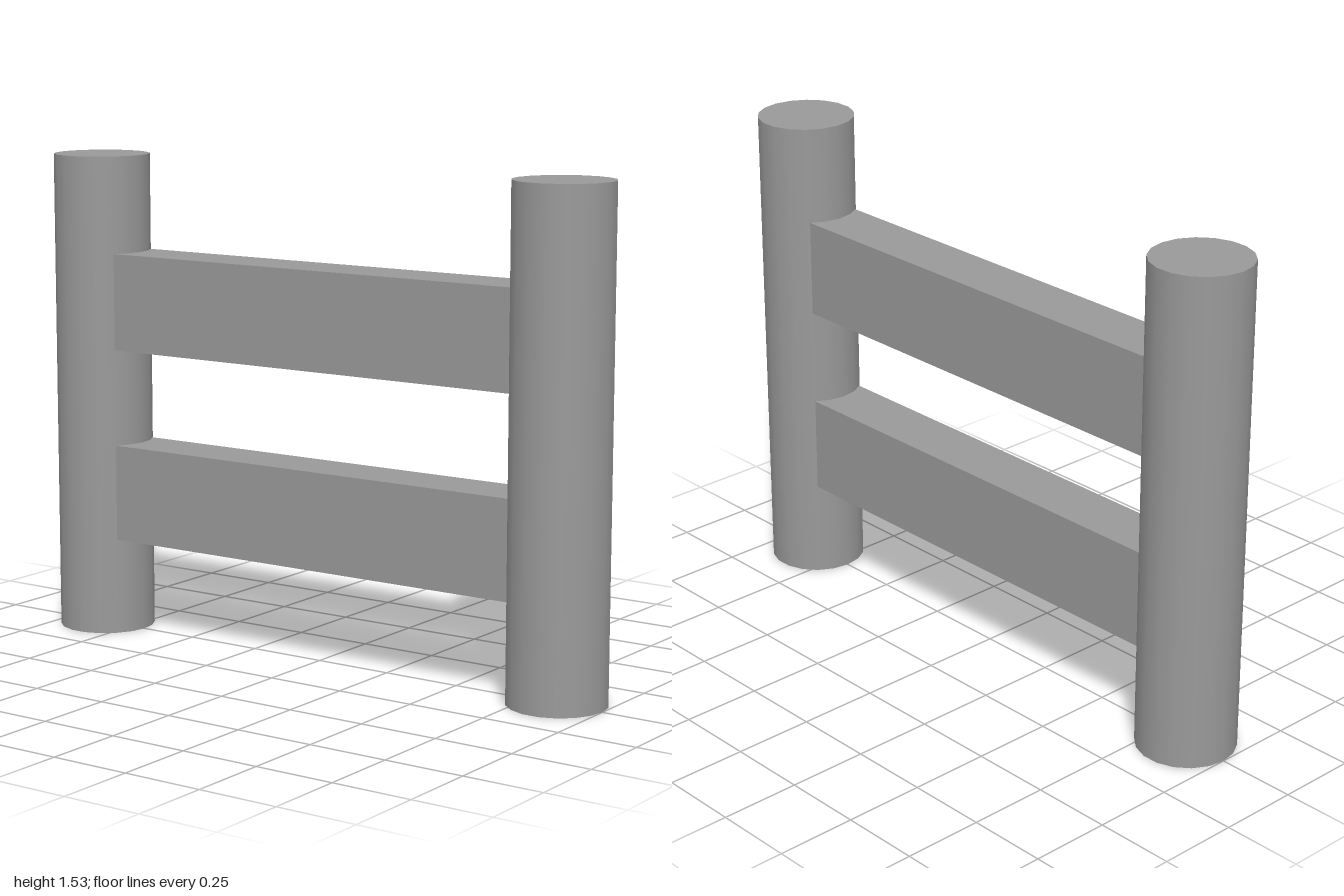
import * as THREE from 'three';

export function createModel() {
  const group = new THREE.Group();
  const material = new THREE.MeshStandardMaterial({ color: 0x999999 });
  const height = 1.53, radius = 0.152, postX = 1 - radius;
  const railHeight = height / 5;

  // Round posts, one at each end, with a corner of the polygon pointing along x
  const postGeometry = new THREE.CylinderGeometry(radius, radius, height, 18, 1, false, Math.PI / 2);
  for (const [name, side] of [['leftPost', 1], ['rightPost', -1]]) {
    const post = new THREE.Mesh(postGeometry, material);
    post.name = name;
    post.position.set(side * postX, height / 2, 0);
    group.add(post);
  }

  // Flat rails running into the posts
  const railGeometry = new THREE.BoxGeometry(2 * postX, railHeight, 0.185);
  for (const [name, step] of [['lowerRail', 1.5], ['upperRail', 3.5]]) {
    const rail = new THREE.Mesh(railGeometry, material);
    rail.name = name;
    rail.position.y = step * railHeight;
    group.add(rail);
  }

  return group;
}
